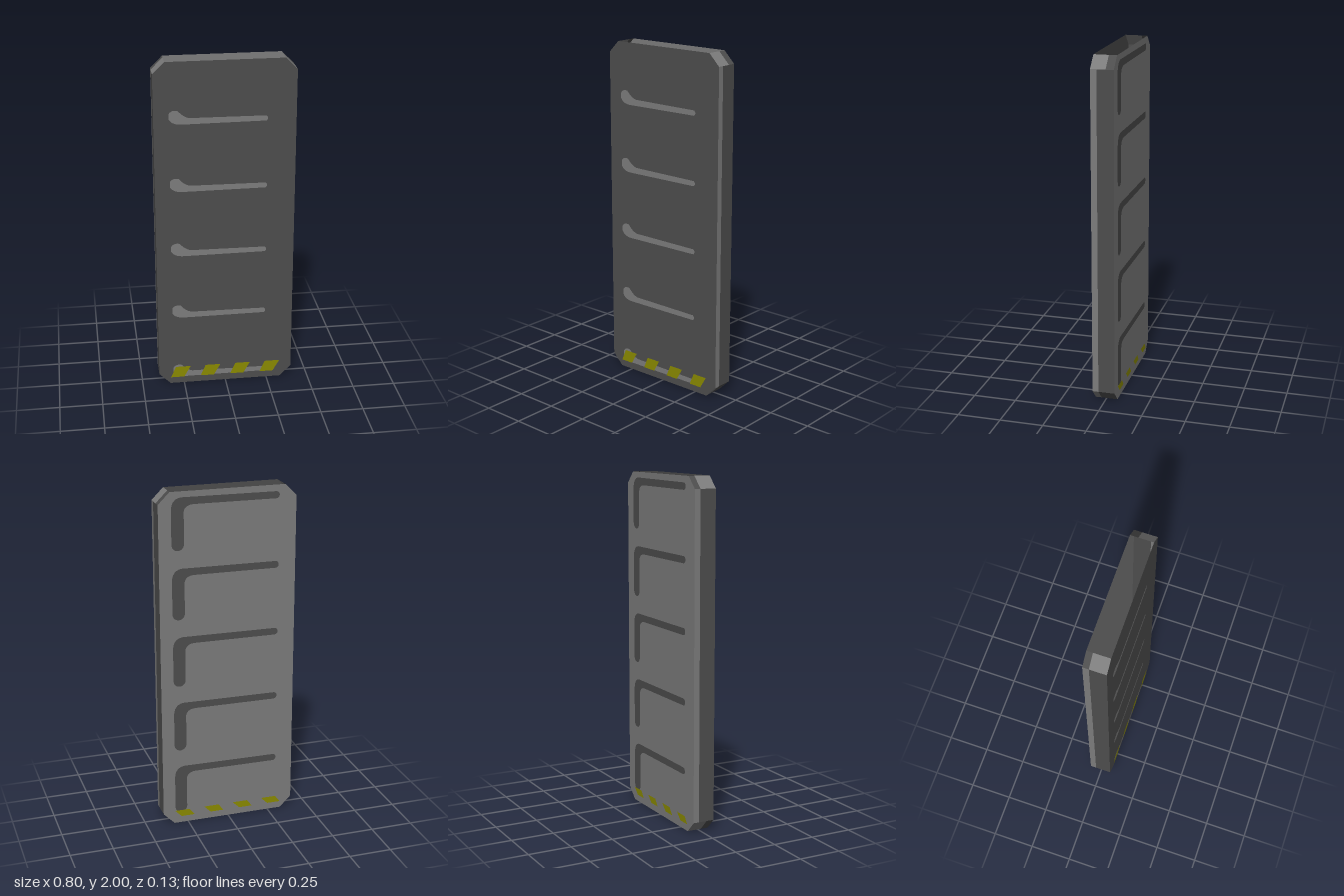
import * as THREE from 'three';

const W = 0.4, H = 2, D = 0.065, C = 0.067;

function material(name, color) {
  const m = new THREE.MeshStandardMaterial({ color, side: THREE.DoubleSide });
  m.name = name;
  return m;
}

export function createModel() {
  const group = new THREE.Group();
  const dark = material('dark grey', 0x4d4d4d);
  const light = material('light grey', 0x7c7c7c);
  const yellow = material('hazard yellow', 0x8a8a00);

  const add = (name, geometry, mat, z = 0, y = 0) => {
    const mesh = new THREE.Mesh(geometry, mat);
    mesh.name = name;
    mesh.position.set(0, y, z);
    group.add(mesh);
    return mesh;
  };
  const polygon = (pts) =>
    new THREE.ShapeGeometry(new THREE.Shape(pts.map(([x, y]) => new THREE.Vector2(x, y))));

  // Front and back panels with cut corners; the shell is open at top and bottom
  const outline = [
    [-W + C, 0], [W - C, 0], [W, C], [W, H - C],
    [W - C, H], [-W + C, H], [-W, H - C], [-W, C],
  ];
  add('frontPanel', polygon(outline), dark, D);
  add('backPanel', polygon(outline), light, -D);

  // Edge walls, each split lengthwise into a light and a dark strip
  const strip = (name, a, b, z0, z1, mat) => {
    const dx = b[0] - a[0], dy = b[1] - a[1];
    const g = new THREE.PlaneGeometry(z1 - z0, Math.hypot(dx, dy));
    g.rotateY(Math.PI / 2);
    g.rotateZ(Math.atan2(-dx, dy));
    g.translate((a[0] + b[0]) / 2, (a[1] + b[1]) / 2, (z0 + z1) / 2);
    add(name, g, mat);
  };
  const wall = (name, i, split, lightInFront) => {
    const a = outline[i], b = outline[(i + 1) % 8];
    strip(name + 'Front', a, b, split, D, lightInFront ? light : dark);
    strip(name + 'Back', a, b, -D, split, lightInFront ? dark : light);
  };
  wall('leftSide', 2, 0.03, true);
  wall('rightSide', 6, -0.03, false);
  wall('topLeftCorner', 3, -0.02, true);
  wall('topRightCorner', 5, -0.03, true);
  wall('bottomLeftCorner', 1, 0.03, true);
  wall('bottomRightCorner', 7, 0.02, false);

  // Front grooves: a thin bar with a raised end
  const frontGroove = new THREE.Shape();
  frontGroove.moveTo(-0.25, -0.018);
  frontGroove.lineTo(0.23, -0.015);
  frontGroove.quadraticCurveTo(0.248, 0, 0.23, 0.015);
  frontGroove.lineTo(-0.2, 0.018);
  frontGroove.quadraticCurveTo(-0.235, 0.025, -0.265, 0.062);
  frontGroove.quadraticCurveTo(-0.3, 0.07, -0.315, 0.045);
  frontGroove.lineTo(-0.315, 0.015);
  frontGroove.quadraticCurveTo(-0.3, -0.016, -0.25, -0.018);

  // Back grooves: a bar with a long leg hanging from one end
  const backGroove = new THREE.Shape();
  backGroove.moveTo(-0.28, 0.018);
  backGroove.lineTo(0.27, 0.022);
  backGroove.quadraticCurveTo(0.327, 0.015, 0.327, -0.05);
  backGroove.lineTo(0.327, -0.24);
  backGroove.absarc(0.291, -0.24, 0.036, 0, -Math.PI, true);
  backGroove.lineTo(0.255, -0.06);
  backGroove.quadraticCurveTo(0.25, -0.022, 0.2, -0.02);
  backGroove.lineTo(-0.28, -0.022);
  backGroove.absarc(-0.28, -0.002, 0.02, -Math.PI / 2, -Math.PI * 1.5, true);

  const frontGeo = new THREE.ShapeGeometry(frontGroove, 6);
  const backGeo = new THREE.ShapeGeometry(backGroove, 6);
  for (let i = 0; i < 5; i++) {
    add('frontGroove', frontGeo, light, D + 0.001, 0.06 + 0.4 * i);
    add('innerGroove', frontGeo, light, D - 0.001, 0.06 + 0.4 * i);
    add('backGroove', backGeo, dark, -D - 0.001, 0.345 + 0.4 * i);
  }

  // Slanted hazard stripes along the foot, front and back
  for (let i = 0; i < 4; i++) {
    const x = -0.33 + i * 0.18;
    const stripe = (h) => polygon([[x, 0], [x + 0.08, 0], [x + 0.12, h], [x + 0.03, h]]);
    add('frontStripe', stripe(0.07), yellow, D + 0.002, 0.04);
    add('backStripe', stripe(0.04), yellow, -D - 0.002, 0.04);
  }
  return group;
}
